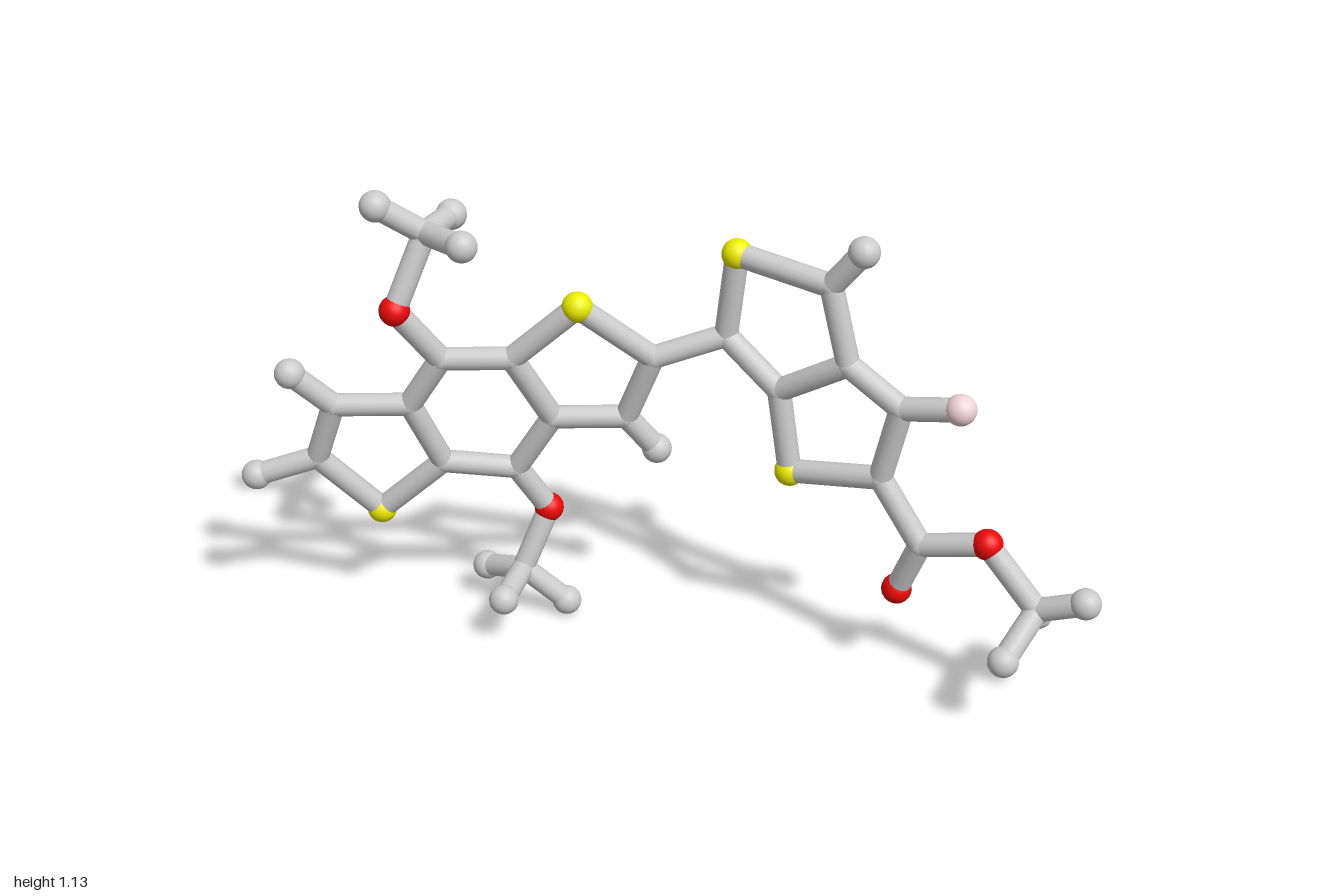
import * as THREE from 'three';

const STICK_RADIUS = 0.027, BALL_RADIUS = 0.035;
const paint = (color) => new THREE.MeshStandardMaterial({ color });
const GREY = paint(0xcccccc), RED = paint(0xee0808), YELLOW = paint(0xeeee00), PINK = paint(0xf0d4da);

// The two flat halves of the molecule lie on tilted planes z(x, y)
const leftPlane = (x, y) => -0.295 - 0.244 * x + 0.251 * y;
const rightPlane = (x, y) => -0.203 + 0.32 * x + 0.035 * y;

const UP = new THREE.Vector3(0, 1, 0);

export function createModel() {
  const model = new THREE.Group();
  model.name = 'molecule';
  const ballGeometry = new THREE.SphereGeometry(BALL_RADIUS, 24, 16);
  const jointGeometry = new THREE.SphereGeometry(STICK_RADIUS * 1.03, 20, 14);

  // A fragment turns atoms {key: [x, y, z]} into spheres and keeps their points
  const points = {};
  const addAtoms = (name, atoms, geometry, material, plane) => {
    const group = new THREE.Group();
    group.name = name;
    for (const [key, [x, y, z]] of Object.entries(atoms)) {
      points[key] = new THREE.Vector3(x, y, z ?? plane(x, y));
      const mesh = new THREE.Mesh(geometry, material);
      mesh.name = name + '_' + key;
      mesh.position.copy(points[key]);
      group.add(mesh);
    }
    model.add(group);
  };

  // Carbon joints
  addAtoms('leftRingsCarbon', {
    a1: [-0.825, 0.435], a2: [-0.765, 0.59], a3: [-0.595, 0.59], a4: [-0.54, 0.42],
    a5: [-0.51, 0.72], a6: [-0.355, 0.72], a7: [-0.28, 0.55], a8: [-0.375, 0.40],
    a9: [-0.045, 0.72], a10: [-0.115, 0.55],
  }, jointGeometry, GREY, leftPlane);
  addAtoms('rightRingsCarbon', {
    b1: [0.115, 0.775], b2: [0.36, 0.955], b3: [0.405, 0.775], b4: [0.245, 0.67],
    b5: [0.49, 0.515], b6: [0.53, 0.70], b7: [0.59, 0.37],
  }, jointGeometry, GREY, rightPlane);
  addAtoms('methylCarbon', {
    m1: [-0.53, 1.025, 0.015], m2: [-0.365, 0.13, -0.095], m3: [0.86, 0.28, 0.07],
  }, jointGeometry, GREY);

  // Coloured balls
  addAtoms('sulfur', { s1: [-0.70, 0.275], s2: [-0.20, 0.86] }, ballGeometry, YELLOW, leftPlane);
  addAtoms('sulfur', { s3: [0.14, 0.98], s4: [0.275, 0.47] }, ballGeometry, YELLOW, rightPlane);
  addAtoms('oxygen', {
    o1: [-0.59, 0.857, 0.072], o2: [-0.31, 0.278, -0.143],
    o3: [0.54, 0.23, -0.035], o4: [0.74, 0.413, 0.038],
  }, ballGeometry, RED);
  addAtoms('fluorine', { f1: [0.66, 0.73, 0.028] }, ballGeometry, PINK);

  // Grey end balls
  addAtoms('hydrogen', {
    h1: [-0.97, 0.385, 0.043], h2: [-0.845, 0.683, 0.087], h3: [-0.05, 0.457, -0.163],
    h4: [0.43, 1.047, -0.033],
    h5: [-0.622, 1.098, 0.065], h6: [-0.417, 1.038, 0.105], h7: [-0.505, 1.027, -0.098],
    h8: [-0.475, 0.088, -0.155], h9: [-0.265, 0.037, -0.12], h10: [-0.373, 0.122, 0.045],
    h11: [0.963, 0.328, 0.10], h12: [0.80, 0.197, 0.165], h13: [0.86, 0.20, -0.045],
  }, ballGeometry, GREY);

  // Sticks: each chain joins its atoms in order
  const bonds = {
    outerLeftRing: 'a1 a2 a3 a4 s1 a1',
    middleRing: 'a3 a5 a6 a7 a8 a4',
    innerLeftRing: 'a6 s2 a9 a10 a7',
    centreBond: 'a9 b1',
    upperRightRing: 'b1 s3 b2 b3 b4 b1',
    lowerRightRing: 'b4 s4 b5 b6 b3',
    upperMethoxy: 'a5 o1 m1', lowerMethoxy: 'a8 o2 m2',
    esterChain: 'b5 b7 o4 m3', carbonylBond: 'b7 o3', fluorineBond: 'b6 f1',
    upperMethylA: 'h5 m1 h6', upperMethylB: 'm1 h7',
    lowerMethylA: 'h8 m2 h9', lowerMethylB: 'm2 h10',
    esterMethylA: 'h11 m3 h12', esterMethylB: 'm3 h13',
    ringHydrogenA: 'a1 h1', ringHydrogenB: 'a2 h2', ringHydrogenC: 'a10 h3', ringHydrogenD: 'b2 h4',
  };
  for (const [name, chain] of Object.entries(bonds)) {
    const group = new THREE.Group();
    group.name = name;
    const keys = chain.split(' ');
    for (let i = 0; i + 1 < keys.length; i++) {
      const from = points[keys[i]], to = points[keys[i + 1]];
      const along = to.clone().sub(from);
      const stick = new THREE.Mesh(
        new THREE.CylinderGeometry(STICK_RADIUS, STICK_RADIUS, along.length(), 16), GREY);
      stick.name = 'bond_' + keys[i] + '_' + keys[i + 1];
      stick.position.copy(from).addScaledVector(along, 0.5);
      stick.quaternion.setFromUnitVectors(UP, along.normalize());
      group.add(stick);
    }
    model.add(group);
  }
  return model;
}
